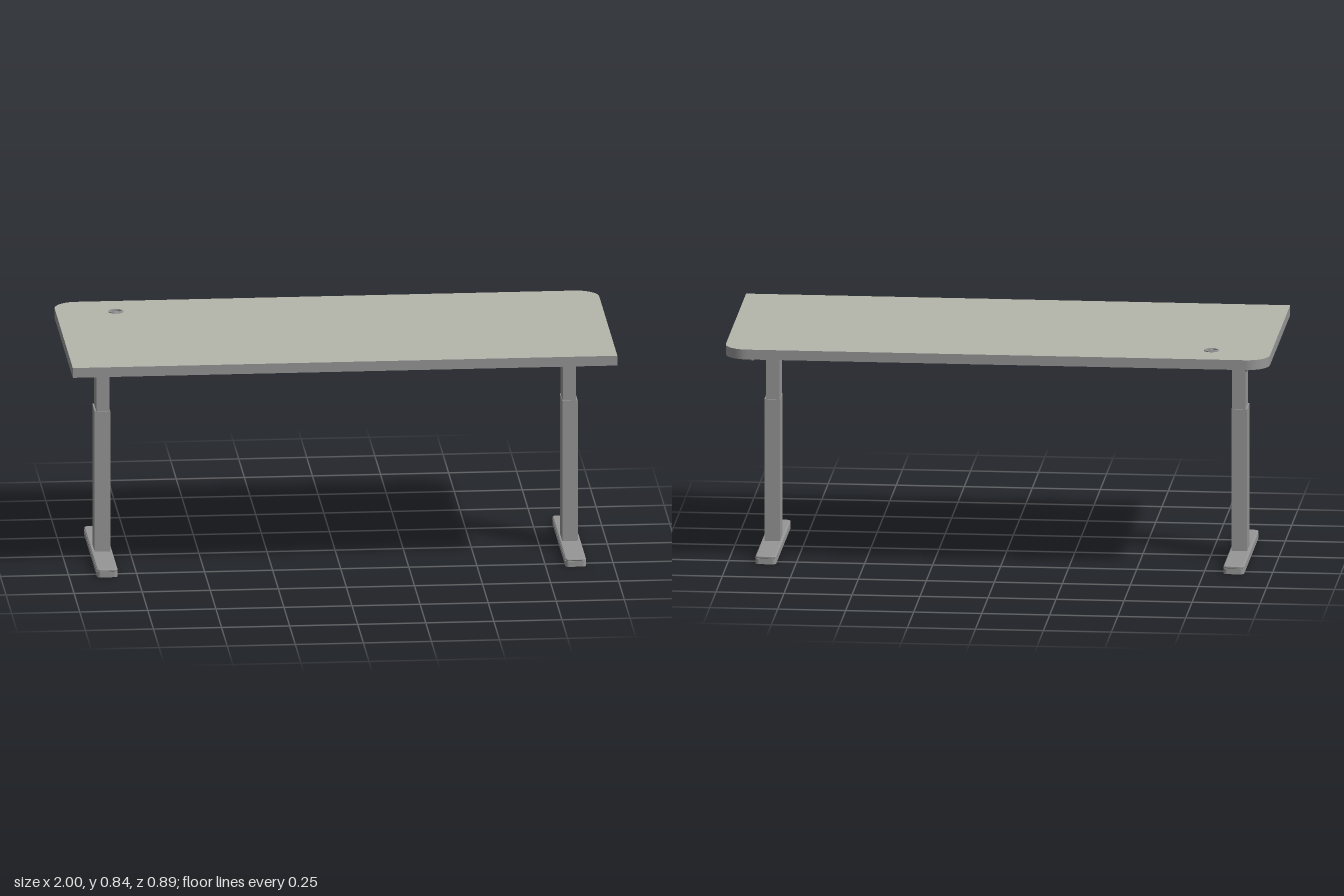
import * as THREE from 'three';

const surface = new THREE.MeshStandardMaterial({ color: 0xb4b5ab });
surface.name = 'warmGreySurface';
const metal = new THREE.MeshStandardMaterial({ color: 0x969696 });
metal.name = 'greyMetal';

function add(parent, name, geometry, material = metal) {
  const mesh = new THREE.Mesh(geometry, material);
  mesh.name = name;
  parent.add(mesh);
  return mesh;
}

// Box given by its lower and upper limits on each axis
function box(parent, name, [x0, x1], [y0, y1], [z0, z1], material) {
  const mesh = add(parent, name, new THREE.BoxGeometry(x1 - x0, y1 - y0, z1 - z0), material);
  mesh.position.set((x0 + x1) / 2, (y0 + y1) / 2, (z0 + z1) / 2);
  return mesh;
}

// Plan outline (shape y points to the back) with separate front and back corner radii
function plan(Type, w, front, back, rf, rb) {
  const s = new Type();
  s.moveTo(-w + rf, front);
  s.lineTo(w - rf, front);
  if (rf) s.absarc(w - rf, front + rf, rf, -Math.PI / 2, 0);
  s.lineTo(w, back - rb);
  if (rb) s.absarc(w - rb, back - rb, rb, 0, Math.PI / 2);
  s.lineTo(-w + rb, back);
  if (rb) s.absarc(-w + rb, back - rb, rb, Math.PI / 2, Math.PI);
  s.lineTo(-w, front + rf);
  if (rf) s.absarc(-w + rf, front + rf, rf, Math.PI, Math.PI * 1.5);
  return s;
}

// Extrude a plan outline upwards from height y
function raise(shape, y, height, options = {}) {
  return new THREE.ExtrudeGeometry(shape, { depth: height, bevelEnabled: false, curveSegments: 10, ...options })
    .rotateX(-Math.PI / 2).translate(0, y, 0);
}

function rectHole(x0, x1, y0, y1) {
  const p = new THREE.Path();
  p.moveTo(x0, y0);
  p.lineTo(x0, y1);
  p.lineTo(x1, y1);
  p.lineTo(x1, y0);
  p.closePath();
  return p;
}

// One leg assembly; side is +1 for left and -1 for right
function makeLeg(side) {
  const leg = new THREE.Group();
  leg.name = side > 0 ? 'leftLeg' : 'rightLeg';
  const span = (a, b) => (side > 0 ? [a, b] : [-b, -a]);

  // Foot: hollow rim with a bevelled lid
  const foot = new THREE.Group();
  foot.name = 'foot';
  foot.position.x = side * 0.86;
  const rim = plan(THREE.Shape, 0.038, -0.295, 0.295, 0.014, 0.014);
  rim.holes.push(plan(THREE.Path, 0.034, -0.289, 0.289, 0.011, 0.011));
  add(foot, 'footRim', raise(rim, 0, 0.021));
  add(foot, 'footLid', raise(plan(THREE.Shape, 0.038, -0.295, 0.295, 0.014, 0.014), 0.025, 0.001,
    { bevelEnabled: true, bevelThickness: 0.004, bevelSize: 0.005, bevelOffset: -0.005, bevelSegments: 3 }));
  leg.add(foot);

  // Telescopic column
  box(leg, 'lowerColumn', span(0.83, 0.887), [0.029, 0.563], [-0.052, 0.053]);
  box(leg, 'upperColumn', span(0.832, 0.881), [0.563, 0.8], [-0.049, 0.05]);

  // Tapered side bracket: outer web and flat flange under the top
  const web = new THREE.Shape();
  web.moveTo(-0.32, 0.804);
  web.lineTo(-0.32, 0.777);
  web.quadraticCurveTo(-0.32, 0.77, -0.313, 0.769);
  web.lineTo(-0.11, 0.739);
  web.lineTo(0.11, 0.739);
  web.lineTo(0.313, 0.769);
  web.quadraticCurveTo(0.32, 0.77, 0.32, 0.777);
  web.lineTo(0.32, 0.804);
  web.closePath();
  const webMesh = add(leg, 'bracketWeb', new THREE.ExtrudeGeometry(web, { depth: 0.008, bevelEnabled: false })
    .translate(0, 0, -0.004).rotateY(Math.PI / 2));
  webMesh.position.x = side * 0.909;
  box(leg, 'bracketFlange', span(0.85, 0.906), [0.798, 0.804], [-0.315, 0.315]);

  // Rail bolts
  for (const z of [-0.091, 0.091]) {
    const bolt = add(leg, 'railBolt', new THREE.CylinderGeometry(0.013, 0.013, 0.006, 16).rotateX(Math.PI / 2));
    bolt.position.set(side * 0.885, 0.778, z);
  }
  return leg;
}

export function createModel() {
  const desk = new THREE.Group();
  desk.name = 'standingDesk';

  // Top with rounded back corners and a cable hole
  const hx = -0.78, hz = -0.3;
  const outline = plan(THREE.Shape, 1, -0.443, 0.443, 0, 0.085);
  outline.holes.push(new THREE.Path().absarc(hx, -hz, 0.024, 0, Math.PI * 2, true));
  add(desk, 'tabletop', raise(outline, 0.804, 0.037), [surface, metal]);

  // Cable grommet: collar and a partly open cover
  const grommet = new THREE.Group();
  grommet.name = 'cableGrommet';
  grommet.position.set(hx, 0, hz);
  const collar = new THREE.Shape().absarc(0, 0, 0.028, 0, Math.PI * 2);
  collar.holes.push(new THREE.Path().absarc(0, 0, 0.021, 0, Math.PI * 2, true));
  add(grommet, 'grommetCollar', raise(collar, 0.841, 0.003));
  box(grommet, 'grommetBridge', [-0.021, 0.021], [0.838, 0.842], [-0.006, 0.004]);
  box(grommet, 'grommetTab', [-0.005, 0.005], [0.838, 0.842], [0.004, 0.021]);
  desk.add(grommet);

  for (const side of [1, -1]) desk.add(makeLeg(side));

  // Long rails joining the legs
  for (const s of [1, -1]) {
    const name = s > 0 ? 'frontRail' : 'backRail';
    box(desk, name, [-0.905, 0.905], [0.755, 0.802], s > 0 ? [0.083, 0.088] : [-0.088, -0.083]);
    box(desk, name + 'Lip', [-0.905, 0.905], [0.755, 0.759], s > 0 ? [0.062, 0.083] : [-0.083, -0.062]);
  }

  // Centre tray with openings
  const tray = plan(THREE.Shape, 0.8, -0.083, 0.083, 0, 0);
  for (const x of [-0.46, 0, 0.43]) {
    tray.holes.push(rectHole(x - 0.11, x - 0.02, -0.045, 0.05));
    tray.holes.push(rectHole(x + 0.02, x + 0.1, -0.05, 0.01));
  }
  for (const x of [-0.24, 0.21]) tray.holes.push(rectHole(x - 0.06, x + 0.06, -0.03, 0.045));
  add(desk, 'cableTray', raise(tray, 0.764, 0.004));

  // Control units in the tray
  const units = [[-0.46, 0.055, 0.045], [0, 0.07, 0.04], [0.43, 0.05, 0.045]];
  for (const [x, w, d] of units) box(desk, 'controlUnit', [x - w, x + w], [0.768, 0.802], [-d, d]);

  // Small switch plate under the front edge
  box(desk, 'switchPlate', [0.56, 0.61], [0.799, 0.804], [0.255, 0.29]);

  return desk;
}
